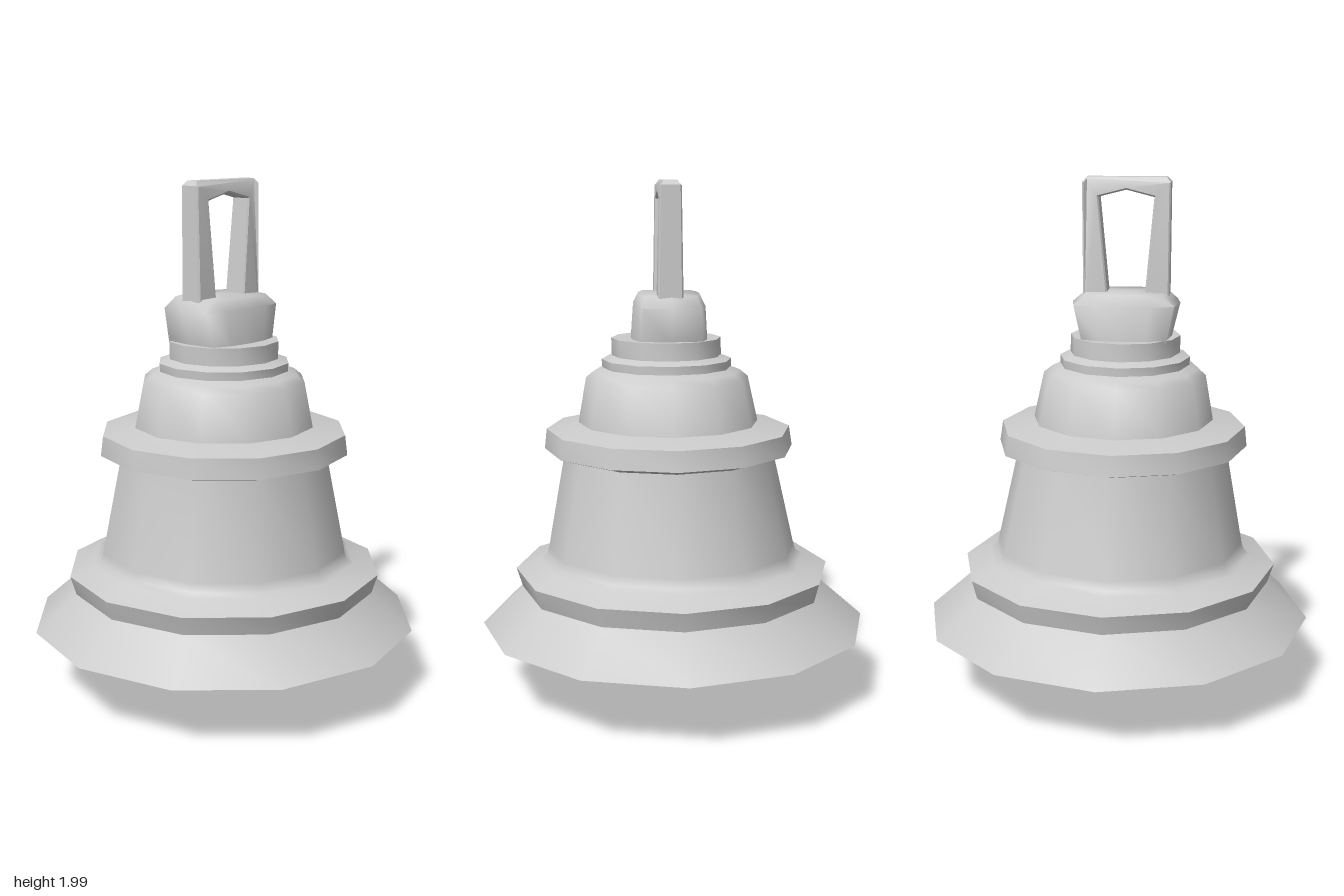
import * as THREE from 'three';
import { toCreasedNormals } from 'three/addons/utils/BufferGeometryUtils.js';

// Move every vertex of a geometry by a rule
function warp(geo, rule) {
  const p = geo.attributes.position, v = new THREE.Vector3();
  for (let i = 0; i < p.count; i++) {
    v.fromBufferAttribute(p, i);
    rule(v);
    p.setXYZ(i, v.x, v.y, v.z);
  }
  return geo;
}

// The bell's axis leans slightly towards -x and +z
function lean(v) {
  const k = 0.028 * (v.y - 0.275) / 1.1;
  v.x -= k;
  v.z += k;
}

const points = list => list.map(p => new THREE.Vector2(...p));
const lathe = profile => new THREE.LatheGeometry(points(profile), 12);

// Skin a stack of similar rings, each given as [halfWidth, halfDepth, y]
function loft(ring, levels) {
  const n = ring.length, pos = [], idx = [];
  for (const [w, d, y] of levels) for (const [x, z] of ring) pos.push(x * w, y, z * d);
  for (let l = 0; l < levels.length - 1; l++) {
    for (let i = 0; i < n; i++) {
      const a = l * n + i, b = l * n + (i + 1) % n;
      idx.push(a, a + n, b, b, a + n, b + n);
    }
  }
  const geo = new THREE.BufferGeometry();
  geo.setAttribute('position', new THREE.Float32BufferAttribute(pos, 3));
  geo.setIndex(idx);
  return geo;
}

export function createModel() {
  const group = new THREE.Group();
  const material = new THREE.MeshStandardMaterial({ color: 0xcccccc, side: THREE.DoubleSide });
  const add = (name, geo, crease, x = 0, y = 0, z = 0) => {
    const mesh = new THREE.Mesh(toCreasedNormals(geo, crease), material);
    mesh.name = name;
    mesh.position.set(x, y, z);
    group.add(mesh);
  };

  // Outer bell: flared lip, lower flange, wall, upper ring, dome, stepped collar
  add('bellBody', warp(lathe([
    [0.757, 0.275], [0.595, 0.42], [0.617, 0.495], [0.52, 0.532], [0.495, 0.547], [0.485, 0.58],
    [0.41, 0.95], [0.485, 0.973], [0.475, 1.05], [0.35, 1.074], [0.315, 1.249], [0.285, 1.274],
    [0.25, 1.288], [0.252, 1.32], [0.212, 1.335], [0.212, 1.402], [0, 1.402],
  ]), lean), 0.9);

  // Hollow inside, ending in a broad flat lip
  add('bellInterior', warp(lathe([
    [0, 1.25], [0.25, 1.2], [0.36, 0.95], [0.43, 0.62], [0.65, 0.277], [0.757, 0.275],
  ]), lean), 1.4);

  // Crown block with bowed sides and softened edges
  const ring = [
    [1, 0], [0.92, -0.8], [0.5, -0.96], [0, -1], [-0.5, -0.96], [-0.92, -0.8],
    [-1, 0], [-0.92, 0.8], [-0.5, 0.96], [0, 1], [0.5, 0.96], [0.92, 0.8],
  ];
  add('crownBlock', loft(ring, [
    [0.172, 0.148, 1.39], [0.206, 0.138, 1.53], [0.158, 0.118, 1.571], [0, 0, 1.576],
  ]), 1.35, -0.033, 0, 0.018);

  // Square handle loop, thinner towards the top
  const outline = new THREE.Shape(points([
    [-0.157, 1.5], [0.157, 1.5], [0.16, 1.98], [0.148, 1.994], [-0.148, 1.994], [-0.16, 1.98],
  ]));
  outline.holes.push(new THREE.Path(points([
    [-0.075, 1.54], [-0.111, 1.932], [0, 1.96], [0.111, 1.932], [0.075, 1.54],
  ])));
  const handle = new THREE.ExtrudeGeometry(outline, {
    depth: 0.086, bevelThickness: 0.006, bevelSize: 0.006, bevelSegments: 1,
  });
  warp(handle, v => {
    v.z = (v.z - 0.043) * (1 - 0.4 * Math.max(0, v.y - 1.57));
    if (v.y > 1.99) v.z *= 0.7;
  });
  add('handle', handle, 0.6, -0.035, 0, 0.021);

  // Clapper: square rod, flattened weight, pierced drop
  add('clapperRod', new THREE.BoxGeometry(0.065, 0.84, 0.065), 0.6, -0.02, 0.83, 0.02);
  const weight = lathe([
    [0, 0.19], [0.118, 0.2], [0.13, 0.235], [0.14, 0.275], [0.16, 0.345],
    [0.13, 0.42], [0.05, 0.46], [0, 0.46],
  ]);
  warp(weight, v => { v.z *= 0.6 * Math.min(1, (v.y - 0.16) / 0.07); });
  add('clapperWeight', weight, 1.0, -0.02, 0, 0.02);

  // Closed profile turned around z: lens-shaped outside, then back through the hole
  const drop = lathe([
    [0.028, -0.074], [0.068, -0.062], [0.095, -0.035], [0.105, 0],
    [0.095, 0.035], [0.068, 0.062], [0.028, 0.074], [0.028, -0.074],
  ]).rotateX(Math.PI / 2);
  warp(drop, v => {
    v.y *= Math.hypot(v.x, v.y) < 0.04 ? 1.3 : 1.08;
    v.y = Math.min(v.y, 0.085);
  });
  add('clapperDrop', drop, 1.0, -0.021, 0.119, 0.02);

  return group;
}
